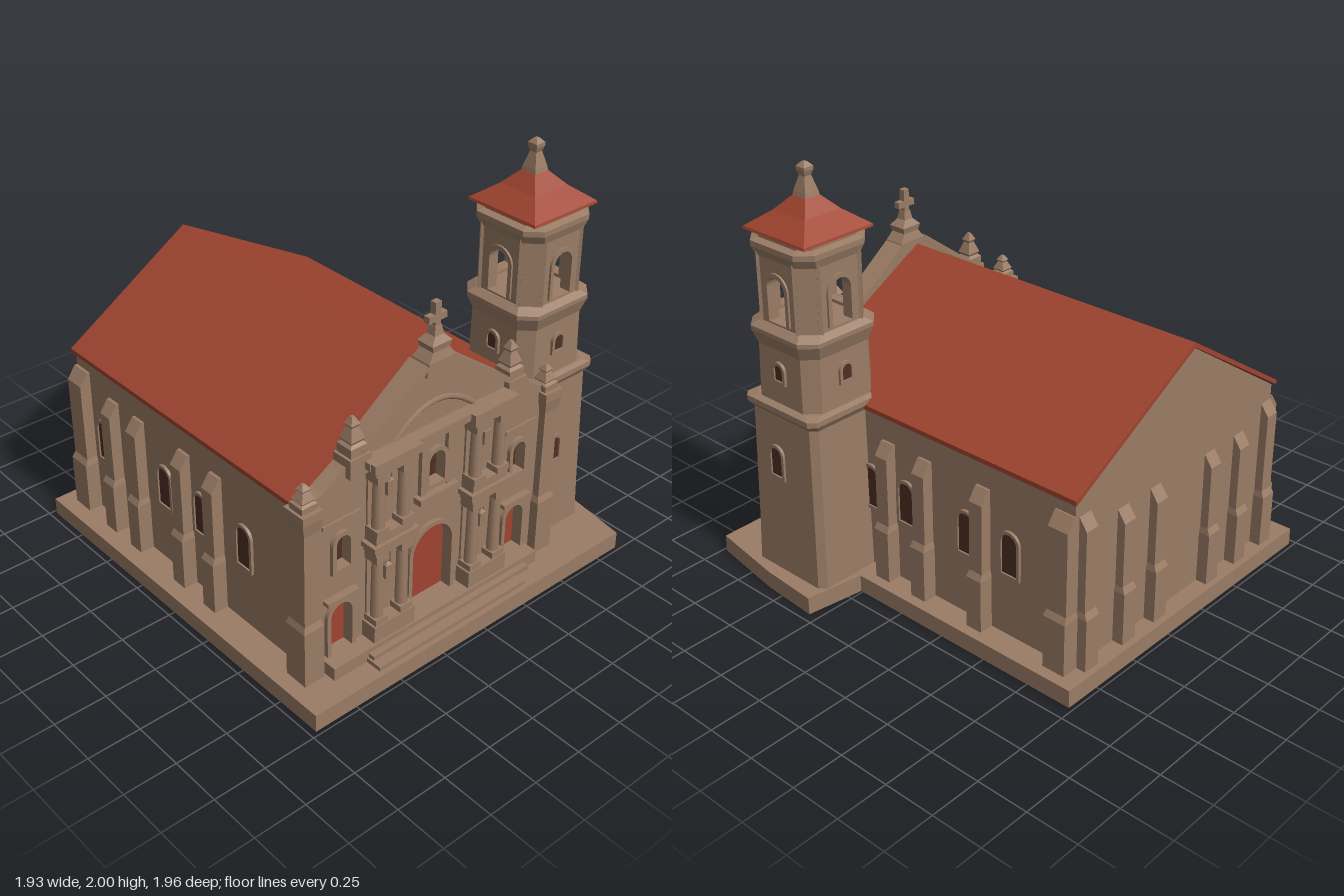
import * as THREE from 'three';

const stone = new THREE.MeshStandardMaterial({ color: 0x9a7c65 });
stone.name = 'warm stone';
const red = new THREE.MeshStandardMaterial({ color: 0xa04430 });
red.name = 'red roof tile';
const dark = new THREE.MeshStandardMaterial({ color: 0x4d2e24 });
dark.name = 'dark opening';

function add(parent, name, geo, mat, x = 0, y = 0, z = 0, ry = 0) {
  const m = new THREE.Mesh(geo, mat);
  m.name = name;
  m.position.set(x, y, z);
  m.rotation.y = ry;
  parent.add(m);
  return m;
}

// box given by its limits
function block(parent, name, x0, x1, y0, y1, z0, z1, mat = stone) {
  return add(parent, name, new THREE.BoxGeometry(x1 - x0, y1 - y0, z1 - z0), mat,
    (x0 + x1) / 2, (y0 + y1) / 2, (z0 + z1) / 2);
}

// stacked chamfered rectangles: each section is [y, halfX, halfZ, chamfer, shiftZ]
function loft(sections) {
  const rings = sections.map(([y, a, b = a, c = 0, s = 0]) => [
    [a, b - c], [a - c, b], [c - a, b], [-a, b - c], [-a, c - b], [c - a, -b], [a - c, -b], [a, c - b],
  ].map(([x, z]) => [x, y, z + s]));
  const p = [];
  for (let i = 0; i + 1 < rings.length; i++) {
    for (let j = 0; j < 8; j++) {
      const k = (j + 1) % 8, lo = rings[i], hi = rings[i + 1];
      p.push(...lo[j], ...hi[j], ...hi[k], ...lo[j], ...hi[k], ...lo[k]);
    }
  }
  const bot = rings[0], top = rings[rings.length - 1];
  for (let j = 1; j < 7; j++) {
    p.push(...bot[0], ...bot[j], ...bot[j + 1], ...top[0], ...top[j + 1], ...top[j]);
  }
  const g = new THREE.BufferGeometry();
  g.setAttribute('position', new THREE.Float32BufferAttribute(p, 3));
  g.computeVertexNormals();
  return g;
}

const poly = (pts) => new THREE.Shape(pts.map(([x, y]) => new THREE.Vector2(x, y)));
const extrude = (shape, depth) =>
  new THREE.ExtrudeGeometry(shape, { depth, bevelEnabled: false, curveSegments: 8 });

// round-topped outline standing on y0
function arch(x, w, y0, y1, Type = THREE.Shape) {
  const s = new Type(), r = w / 2, rise = Math.min(r, (y1 - y0) * 0.4);
  s.moveTo(x - r, y0);
  s.lineTo(x + r, y0);
  s.lineTo(x + r, y1 - rise);
  s.absellipse(x, y1 - rise, r, rise, 0, Math.PI, false);
  s.closePath();
  return s;
}

function archFrame(w, h, t, depth, sill = 0) {
  const s = arch(0, w + 2 * t, -sill, h + t);
  s.holes.push(arch(0, w, sill ? 0 : 0.001, h, THREE.Path));
  return extrude(s, depth);
}

// thin dark pane with a stone surround, facing +z before turning
function windowAt(parent, x, y, z, w, h, ry = 0) {
  const g = new THREE.Group();
  g.name = 'archedWindow';
  add(g, 'pane', extrude(arch(0, w, 0, h), 0.006), dark);
  add(g, 'surround', archFrame(w, h, 0.015, 0.014, 0.015), stone);
  g.position.set(x, y, z);
  g.rotation.y = ry;
  parent.add(g);
}

function pinnacle(parent, x, y, z, s, h) {
  add(parent, 'pinnacle', loft([[0, s], [h * 0.25, s], [h * 0.32, s * 0.7], [h * 0.4, s * 0.85],
    [h * 0.72, s * 0.4], [h * 0.8, s * 0.55], [h, s * 0.15]]), stone, x, y, z);
}

// stepped wall support with a sloping head, projecting toward +z before turning
function buttress(parent, x, z, ry, h, w = 0.036) {
  add(parent, 'buttress', loft([[0.08, w + 0.006, 0.045], [0.34, w + 0.006, 0.045], [0.37, w, 0.03],
    [h - 0.06, w, 0.03], [h, w, 0.008, 0, -0.02]]), stone, x, 0, z, ry);
}

function buildNave(root) {
  const g = new THREE.Group();
  g.name = 'nave';
  root.add(g);
  add(g, 'walls', extrude(poly([[-0.825, 0.08], [0.56, 0.08], [0.56, 0.89], [-0.18, 1.31], [-0.825, 0.89]]), 1.6),
    stone, 0, 0, -0.895);
  add(g, 'gableRoof', extrude(poly([[-0.84, 0.89], [-0.18, 1.312], [0.575, 0.89], [0.575, 0.912],
    [-0.18, 1.335], [-0.84, 0.912]]), 1.62), red, 0, 0, -0.91);
  const q = Math.PI / 2;
  for (const z of [0.165, -0.06, -0.4]) buttress(g, 0.585, z, q, 0.77);
  for (const z of [0.165, -0.06, -0.4, -0.6]) buttress(g, -0.85, z, -q, 0.77);
  buttress(g, 0.58, -0.845, q, 0.83, 0.052);
  buttress(g, -0.85, -0.845, -q, 0.83, 0.052);
  for (const x of [0.5, 0.25, 0.03, -0.36, -0.58, -0.79]) buttress(g, x, -0.905, Math.PI, Math.abs(x + 0.15) > 0.6 ? 0.82 : 0.74);
  for (const z of [0.28, 0.06, -0.3, -0.55]) windowAt(g, 0.56, 0.4, z, 0.085, 0.2, q);
  for (const z of [0.35, 0.05, -0.22, -0.7]) windowAt(g, -0.825, 0.4, z, 0.085, 0.2, -q);
}

function buildFacade(root) {
  const g = new THREE.Group();
  g.name = 'facade';
  root.add(g);
  const cx = -0.165;
  const wall = poly([[-0.88, 0.08], [0.56, 0.08], [0.555, 0.94], [0.46, 0.98], [0.37, 1.05], [0.26, 1.09],
    [-0.08, 1.35], [-0.24, 1.35], [-0.56, 1.11], [-0.66, 1.04], [-0.76, 0.98], [-0.87, 0.94]]);
  // [x, width, bottom, top, filling]
  const openings = [[cx, 0.23, 0.15, 0.54, red], [-0.68, 0.115, 0.15, 0.4, red], [0.345, 0.11, 0.15, 0.4, red],
    [-0.67, 0.075, 0.58, 0.74, dark], [0.35, 0.075, 0.58, 0.74, dark], [-0.155, 0.09, 0.76, 0.92, dark]];
  for (const [x, w, y0, y1, mat] of openings) {
    wall.holes.push(arch(x, w, y0, y1, THREE.Path));
    block(g, mat === red ? 'door' : 'window', x - w / 2 - 0.01, x + w / 2 + 0.01, y0 - 0.01, y1 + 0.01, 0.742, 0.749, mat);
    add(g, 'openingSurround', archFrame(w, y1 - y0, 0.02, 0.025, mat === red ? 0 : 0.02), stone, x, y0, 0.78);
  }
  add(g, 'frontWall', extrude(wall, 0.075), stone, 0, 0, 0.71);

  // paired columns on pedestals in two storeys, with a niche between
  for (const x of [-0.435, 0.12]) {
    block(g, 'bayBacking', x - 0.1, x + 0.1, 0.08, 1.03, 0.77, 0.795);
    block(g, 'pedestal', x - 0.115, x + 0.115, 0.08, 0.23, 0.77, 0.865);
    block(g, 'middleEntablature', x - 0.11, x + 0.11, 0.595, 0.625, 0.77, 0.86);
    block(g, 'middleCornice', x - 0.125, x + 0.125, 0.625, 0.65, 0.77, 0.87);
    block(g, 'upperPlinth', x - 0.105, x + 0.105, 0.65, 0.69, 0.77, 0.855);
    block(g, 'upperEntablature', x - 0.115, x + 0.115, 0.99, 1.03, 0.77, 0.86);
    for (const s of [-1, 1]) {
      for (const [y0, y1] of [[0.23, 0.595], [0.69, 0.99]]) {
        const px = x + s * 0.07, h = y1 - y0;
        add(g, 'column', new THREE.CylinderGeometry(0.024, 0.029, h, 10), stone, px, y0 + h / 2, 0.825);
        block(g, 'columnBase', px - 0.035, px + 0.035, y0, y0 + 0.03, 0.785, 0.86);
        block(g, 'capital', px - 0.035, px + 0.035, y1 - 0.04, y1, 0.785, 0.86);
      }
    }
    for (const y of [0.41, 0.84]) {
      windowAt(g, x, y, 0.793, 0.04, 0.14);
      add(g, 'nicheFigure', loft([[0, 0.014], [0.07, 0.017], [0.085, 0.007], [0.11, 0.01]]), stone, x, y, 0.806);
    }
  }
  // main cornice and curved tympanum moulding
  block(g, 'mainCornice', -0.57, 0.25, 1.025, 1.06, 0.77, 0.845);
  for (const x of [-0.435, 0.12]) block(g, 'corniceBreak', x - 0.13, x + 0.13, 1.02, 1.06, 0.77, 0.872);
  const curve = new THREE.QuadraticBezierCurve3(new THREE.Vector3(-0.38, 1.06, 0.785),
    new THREE.Vector3(cx, 1.27, 0.785), new THREE.Vector3(0.06, 1.06, 0.785));
  add(g, 'tympanumMoulding', new THREE.TubeGeometry(curve, 12, 0.014, 5), stone);
  block(g, 'balconySill', -0.27, -0.05, 0.70, 0.73, 0.77, 0.83);
  for (const x of [-0.23, -0.08]) block(g, 'windowPilaster', x - 0.016, x + 0.016, 0.73, 1.025, 0.77, 0.805);
  for (const x of [-0.68, 0.345]) block(g, 'doorHood', x - 0.085, x + 0.085, 0.425, 0.445, 0.77, 0.82);
  block(g, 'sideBand', -0.77, -0.57, 0.80, 0.82, 0.77, 0.795);
  block(g, 'sideBand', 0.27, 0.46, 0.80, 0.82, 0.77, 0.795);

  // sloping coping on the gable
  for (const [x0, y0, x1, y1] of [[-0.57, 1.105, -0.23, 1.355], [-0.09, 1.355, 0.27, 1.09]]) {
    const m = block(g, 'gableCoping', 0, Math.hypot(x1 - x0, y1 - y0), 0, 0.025, 0.705, 0.81);
    m.position.set((x0 + x1) / 2, (y0 + y1) / 2 - 0.004, 0.757);
    m.rotation.z = Math.atan2(y1 - y0, x1 - x0);
  }
  // end piers, pinnacles and cross
  for (const [x, z] of [[-0.845, 0.765], [0.525, 0.77]]) {
    add(g, 'endPier', loft([[0.08, 0.052, 0.06], [0.36, 0.052, 0.06], [0.39, 0.042, 0.05], [0.84, 0.04, 0.05],
      [0.9, 0.052, 0.06], [0.94, 0.052, 0.06]]), stone, x, 0, z);
    pinnacle(g, x, 0.94, z, 0.04, 0.115);
  }
  for (const x of [-0.59, 0.3]) {
    block(g, 'pinnacleBase', x - 0.055, x + 0.055, 1.0, 1.09, 0.71, 0.815);
    pinnacle(g, x, 1.09, 0.76, 0.043, 0.165);
  }
  add(g, 'crossPedestal', loft([[1.3, 0.085, 0.05], [1.36, 0.075, 0.05], [1.4, 0.045, 0.04], [1.43, 0.055, 0.045],
    [1.46, 0.025], [1.5, 0.018]]), stone, -0.15, 0, 0.757);
  block(g, 'crossUpright', -0.166, -0.134, 1.48, 1.605, 0.742, 0.772);
  block(g, 'crossArm', -0.2, -0.1, 1.52, 1.55, 0.742, 0.772);
}

function buildTower(root) {
  const g = new THREE.Group();
  g.name = 'bellTower';
  g.position.set(0.65, 0, 0.52);
  root.add(g);
  add(g, 'lowerStage', loft([[0.08, 0.228, 0.225, 0.03], [0.3, 0.222, 0.22, 0.03], [0.88, 0.212, 0.21, 0.03],
    [0.91, 0.235, 0.228, 0.03], [0.935, 0.235, 0.228, 0.03], [0.945, 0.21, 0.205, 0.05]]), stone);
  add(g, 'middleStage', loft([[0.94, 0.203, 0.197, 0.06], [1.2, 0.198, 0.193, 0.06], [1.265, 0.222, 0.215, 0.065],
    [1.285, 0.222, 0.215, 0.065], [1.31, 0.19, 0.19, 0.065]]), stone);
  // open belfry: four arched walls and four angled corners
  for (let i = 0; i < 4; i++) {
    const side = new THREE.Group();
    side.name = 'belfrySide';
    side.rotation.y = i * Math.PI / 2;
    g.add(side);
    const s = poly([[-0.125, 1.3], [0.125, 1.3], [0.125, 1.64], [-0.125, 1.64]]);
    s.holes.push(arch(0, 0.11, 1.325, 1.535, THREE.Path));
    add(side, 'archedWall', extrude(s, 0.045), stone, 0, 0, 0.14);
    add(side, 'archSurround', archFrame(0.11, 0.21, 0.02, 0.012), stone, 0, 1.325, 0.183);
    add(side, 'cornerPost', new THREE.BoxGeometry(0.115, 0.34, 0.05), stone, 0.137, 1.47, 0.137, Math.PI / 4);
  }
  add(g, 'belfryCornice', loft([[1.61, 0.187, 0.187, 0.065], [1.65, 0.203, 0.2, 0.065], [1.675, 0.203, 0.2, 0.065],
    [1.685, 0.17, 0.17, 0.05], [1.715, 0.17, 0.17, 0.05]]), stone);
  add(g, 'bell', new THREE.CylinderGeometry(0.025, 0.055, 0.12, 10), dark, 0, 1.425, 0);
  add(g, 'bellHanger', new THREE.CylinderGeometry(0.012, 0.012, 0.14, 6), dark, 0, 1.55, 0);
  block(g, 'bellBeam', -0.14, 0.14, 1.48, 1.51, -0.015, 0.015, red);
  // pyramid roof and finial
  add(g, 'towerRoof', loft([[1.708, 0.195], [1.72, 0.192], [1.79, 0.1], [1.875, 0.02]]), red, -0.004);
  add(g, 'finial', loft([[1.845, 0.042], [1.875, 0.036], [1.94, 0.018], [1.965, 0.026], [1.98, 0.026], [2.0, 0.008]]), stone, -0.004);
  // small windows on the stages
  windowAt(g, 0.01, 0.48, 0.214, 0.06, 0.12);
  windowAt(g, 0.214, 0.58, 0.04, 0.07, 0.14, Math.PI / 2);
  for (let i = 0; i < 4; i++) {
    const a = i * Math.PI / 2, r = i % 2 ? 0.2 : 0.194;
    windowAt(g, Math.sin(a) * r, 1.06, Math.cos(a) * r, 0.052, 0.075, a);
  }
}

export function createModel() {
  const root = new THREE.Group();
  root.name = 'church';
  // ground slab, widened under the tower
  const slab = extrude(poly([[-0.97, -0.98], [0.88, -0.98], [0.94, -0.6], [0.96, -0.3], [0.68, -0.26], [0.68, 0.98], [-0.97, 0.98]]), 0.085);
  slab.rotateX(-Math.PI / 2);
  add(root, 'groundSlab', slab, stone);
  block(root, 'lowerStep', -0.6, 0.28, 0.08, 0.105, 0.7, 0.955);
  block(root, 'middleStep', -0.59, 0.35, 0.1, 0.125, 0.7, 0.905);
  block(root, 'upperStep', -0.78, 0.43, 0.08, 0.148, 0.7, 0.875);
  buildNave(root);
  buildFacade(root);
  buildTower(root);
  return root;
}
